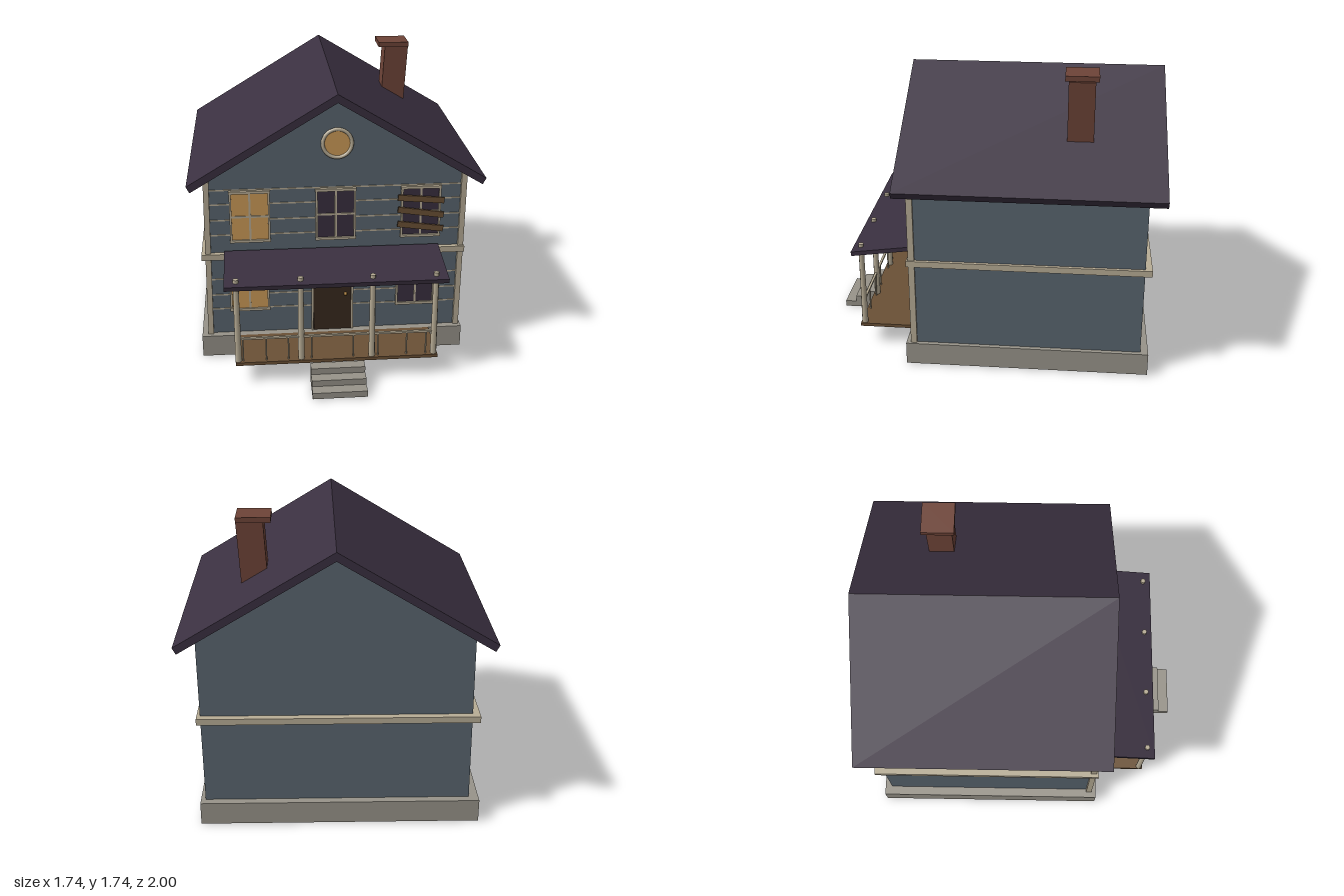
import * as THREE from 'three';

const paint = (name, color) => {
  const m = new THREE.MeshStandardMaterial({ color });
  m.name = name;
  return m;
};

export function createModel() {
  const house = new THREE.Group();
  house.name = 'house';
  const siding = paint('siding', 0x5a6670);
  const roofing = paint('roofing', 0x3a3040);
  const stone = paint('stone', 0x98948a);
  const trim = paint('trim', 0xb8ad96);
  const glow = paint('litGlass', 0xce9c58);
  const brick = paint('brick', 0x6e4438);
  const wood = paint('wood', 0x6b5136);
  const doorPaint = paint('doorPaint', 0x382a1e);
  const brass = paint('brass', 0xa87a34);
  const grass = paint('grass', 0x3c3c28);

  const add = (name, geo, mat, parent = house) => {
    const m = new THREE.Mesh(geo, mat);
    m.name = name;
    parent.add(m);
    return m;
  };
  // Box given by its limits on each axis
  const box = (name, mat, [x0, x1], [y0, y1], [z0, z1], parent = house) => {
    const m = add(name, new THREE.BoxGeometry(x1 - x0, y1 - y0, z1 - z0), mat, parent);
    m.position.set((x0 + x1) / 2, (y0 + y1) / 2, (z0 + z1) / 2);
    return m;
  };
  // Outline in x and y, extruded from z0 to z1
  const slab = (name, mat, pts, z0, z1) => {
    const shape = new THREE.Shape(pts.map(p => new THREE.Vector2(...p)));
    const geo = new THREE.ExtrudeGeometry(shape, { depth: z1 - z0, bevelEnabled: false });
    geo.translate(0, 0, z0);
    return add(name, geo, mat);
  };

  // Main body
  box('foundation', stone, [-0.825, 0.777], [0, 0.135], [-0.95, 0.475]);
  slab('walls', siding, [[-0.77, 0.13], [0.75, 0.13], [0.76, 1.15], [0, 1.615], [-0.76, 1.15]], -0.905, 0.43);
  slab('roof', roofing, [[0, 1.66], [-0.87, 1.135], [-0.85, 1.097], [0, 1.61], [0.85, 1.097], [0.87, 1.135]], -1, 0.515);
  box('beltTrim', trim, [-0.805, 0.775], [0.64, 0.677], [-0.945, 0.46]);
  box('leftCornerPost', trim, [0.736, 0.769], [0.135, 1.145], [0.412, 0.448]).rotation.z = -0.01;
  box('rightCornerPost', trim, [-0.783, -0.75], [0.135, 1.145], [0.412, 0.448]).rotation.z = -0.012;
  for (const y of [0.3, 0.395, 0.5, 0.79, 0.885, 0.985, 1.075])
    box('sidingLine', trim, [-0.755, 0.74], [y - 0.004, y + 0.004], [0.428, 0.434]);

  // Leaning chimney
  const chimney = new THREE.Group();
  chimney.name = 'chimney';
  chimney.position.set(0.455, 1.5, -0.515);
  house.add(chimney);
  box('chimneyStack', brick, [-0.075, 0.075], [-0.25, 0.2], [-0.075, 0.075], chimney).rotation.z = -0.06;
  box('chimneyCap', brick, [-0.105, 0.088], [0.2, 0.23], [-0.095, 0.095], chimney);

  // Sash windows: pane, frame and glazing bars
  const sash = (x, y, h, glass) => {
    const g = new THREE.Group();
    g.name = 'window';
    g.position.set(x, y, 0);
    house.add(g);
    const w = 0.113, t = 0.012, z = [0.43, 0.45];
    box('glass', glass, [-w, w], [-h, h], [0.432, 0.439], g);
    for (const s of [-1, 1]) {
      box('frameSide', trim, [s * w - t / 2, s * w + t / 2], [-h, h], z, g);
      box('frameEnd', trim, [-w - 0.008, w + 0.008], [s * h - 0.008, s * h + 0.008], z, g);
    }
    box('barUpright', trim, [-0.006, 0.006], [-h, h], [0.436, 0.444], g);
    box('barAcross', trim, [-w, w], [-0.006, 0.006], [0.436, 0.444], g);
  };
  sash(-0.512, 0.907, 0.155, glow);
  sash(-0.005, 0.907, 0.155, roofing);
  sash(0.503, 0.907, 0.155, roofing);
  sash(-0.527, 0.46, 0.165, glow);
  sash(0.485, 0.46, 0.165, roofing);
  for (const [y, tilt] of [[0.992, -0.09], [0.907, -0.15], [0.817, -0.14]])
    box('windowBoard', wood, [0.362, 0.64], [y - 0.018, y + 0.018], [0.45, 0.462]).rotation.z = tilt;

  // Round gable window
  const pane = add('roundGlass', new THREE.CylinderGeometry(0.085, 0.085, 0.009, 32), glow);
  pane.rotation.x = Math.PI / 2;
  pane.position.set(0.004, 1.347, 0.434);
  add('roundFrame', new THREE.TorusGeometry(0.085, 0.011, 8, 36), trim).position.set(0.004, 1.347, 0.438);

  // Front door
  box('door', doorPaint, [-0.14, 0.09], [0.135, 0.62], [0.425, 0.445]);
  for (const x of [-0.147, 0.097])
    box('doorJamb', trim, [x - 0.006, x + 0.006], [0.135, 0.62], [0.428, 0.449]);
  box('doorGlass', glow, [-0.085, 0.032], [0.48, 0.54], [0.443, 0.449]);
  add('doorKnob', new THREE.SphereGeometry(0.011, 12, 8), brass).position.set(0.055, 0.38, 0.454);

  // Porch
  box('porchFloor', wood, [-0.62, 0.57], [0.115, 0.135], [0.44, 0.795]);
  const porchRoof = box('porchRoof', roofing, [-0.67, 0.615], [0.641, 0.667], [0.44, 0.82]);
  porchRoof.rotation.x = 0.135;
  for (const x of [-0.603, -0.235, 0.18, 0.547])
    add('porchPost', new THREE.CylinderGeometry(0.016, 0.019, 0.54, 8), trim).position.set(x, 0.397, 0.772);
  box('railing', trim, [-0.6, 0.547], [0.278, 0.29], [0.766, 0.78]);
  for (const x of [-0.575, -0.44, -0.31, -0.175, 0.07, 0.215, 0.385, 0.5])
    add('baluster', new THREE.CylinderGeometry(0.005, 0.005, 0.15, 6), trim).position.set(x, 0.208, 0.773);

  // Front steps
  [1, 0.93, 0.862].forEach((z, i) =>
    box('step', stone, [-0.185, 0.132], [i * 0.038, (i + 1) * 0.038], [0.795, z]));

  // Grass tufts by the foundation
  for (const x of [-0.57, 0.18, 0.24, 0.39])
    for (let i = -2; i <= 2; i++) {
      const blade = add('grassBlade', new THREE.ConeGeometry(0.004, 0.08 - Math.abs(i) * 0.012, 4), grass);
      blade.position.set(x + i * 0.013, 0.035, 0.505 + (i % 2) * 0.015);
      blade.rotation.set(0.2 * (i % 2), 0, -i * 0.2);
    }
  return house;
}
